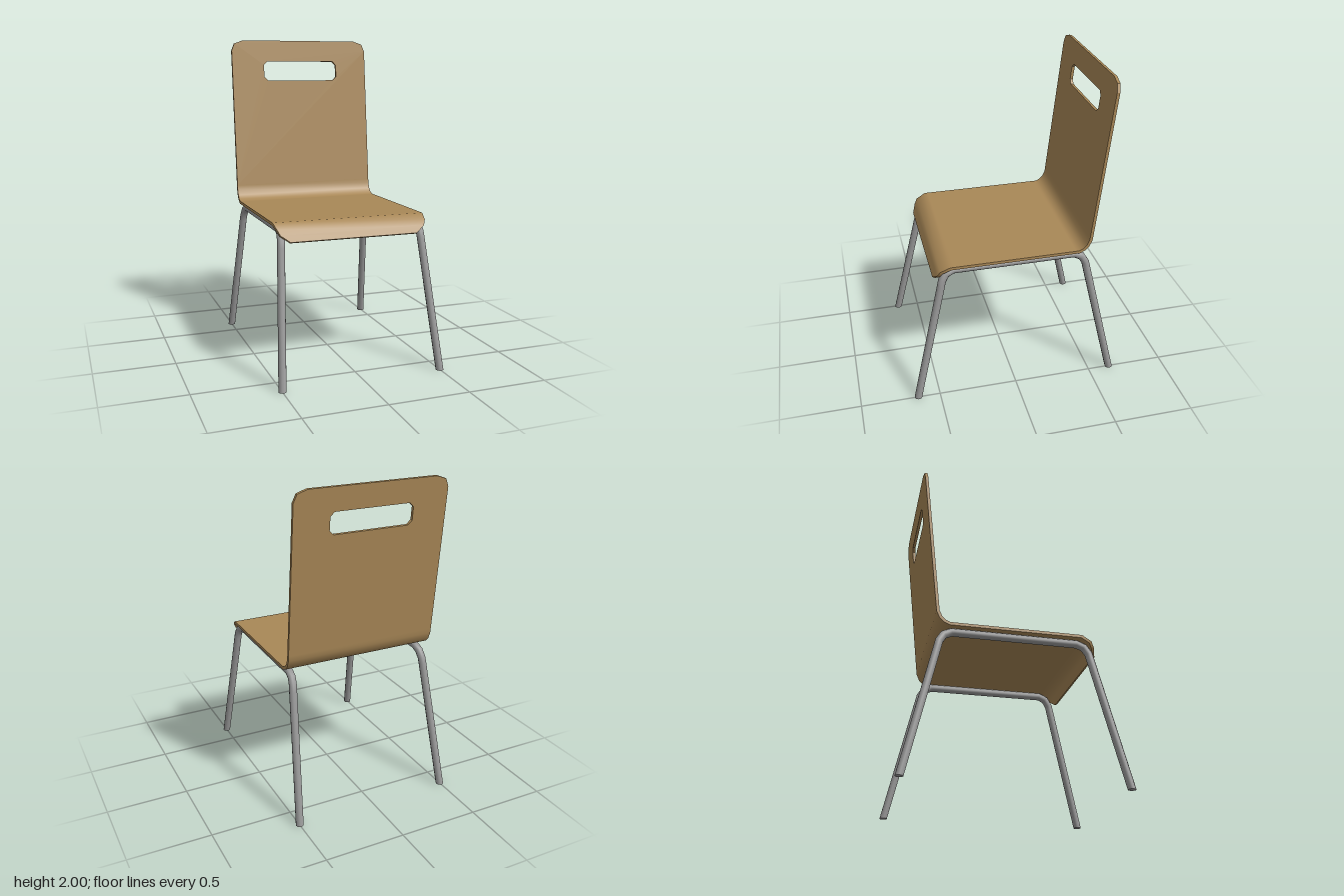
import * as THREE from 'three';
import { toCreasedNormals } from 'three/addons/utils/BufferGeometryUtils.js';

// Sweeps a cross-section along a path of [x, y, z] points that bends in the yz plane.
// section(i) gives [across, normal] pairs; flatEnds cuts both ends horizontally.
function sweep(path, section, flatEnds = false) {
  const pts = path.map(p => new THREE.Vector3(...p));
  const last = pts.length - 1;
  const dir = i => pts[i + 1].clone().sub(pts[i]).setX(0).normalize();
  const positions = [], index = [];
  let n = 0;
  pts.forEach((p, i) => {
    const before = dir(Math.max(i - 1, 0)), after = dir(Math.min(i, last - 1));
    let t = before.clone().add(after).normalize();
    const miter = 1 / t.dot(after);
    if (flatEnds && i === 0) t.set(0, 1, 0);
    if (flatEnds && i === last) t.set(0, -1, 0);
    const ring = section(i);
    n = ring.length;
    for (const [a, b] of ring) {
      positions.push(p.x + a, p.y + t.z * b * miter, p.z - t.y * b * miter);
    }
  });
  for (let i = 0; i < last; i++) {
    for (let j = 0; j < n; j++) {
      const a = i * n + j, b = i * n + (j + 1) % n;
      index.push(a, b, a + n, b, b + n, a + n);
    }
  }
  for (let j = 1; j < n - 1; j++) {
    index.push(0, j + 1, j, last * n, last * n + j, last * n + j + 1);
  }
  const geo = new THREE.BufferGeometry();
  geo.setAttribute('position', new THREE.Float32BufferAttribute(positions, 3));
  geo.setIndex(index);
  return toCreasedNormals(geo, 1.0);
}

export function createModel() {
  const model = new THREE.Group();
  model.name = 'chair';
  const wood = new THREE.MeshStandardMaterial({ color: 0xa98857 });
  wood.name = 'wood';
  const steel = new THREE.MeshStandardMaterial({ color: 0x999999 });
  steel.name = 'steel';
  const add = (name, geo, mat) => {
    const mesh = new THREE.Mesh(geo, mat);
    mesh.name = name;
    model.add(mesh);
    return mesh;
  };

  const half = 0.48, thick = 0.018;

  // Seat: lip, flat and rear bend as [z, y, half width]
  const seat = [
    [0.492, 0.826, 0.40], [0.472, 0.865, 0.455], [0.455, 0.895, 0.47],
    [0.40, 0.923, half], [0.38, 0.923, half], [-0.375, 0.923, half],
    [-0.395, 0.923, half], [-0.424, 0.936, half], [-0.449, 0.961, half],
    [-0.466, 1.0, half], [-0.4693, 1.03, half],
  ];
  add('seat', sweep(seat.map(([z, y]) => [0, y, z]), i => {
    const w = seat[i][2], h = thick / 2;
    return [[w, -h], [w, h], [-w, h], [-w, -h]];
  }), wood);

  // Backrest: leaning panel with clipped top corners and a hand slot
  const lean = Math.atan(0.109), baseY = 1.03;
  const up = y => (y - baseY) / Math.cos(lean);
  const toPoints = list => list.map(([x, y]) => new THREE.Vector2(x, up(y)));
  const panel = new THREE.Shape(toPoints([
    [-half, baseY], [half, baseY], [half, 1.93], [0.46, 1.978], [0.40, 1.999],
    [-0.40, 1.999], [-0.46, 1.978], [-half, 1.93],
  ]));
  panel.holes.push(new THREE.Path(toPoints([
    [-0.26, 1.76], [-0.26, 1.835], [-0.235, 1.86], [0.235, 1.86],
    [0.26, 1.835], [0.26, 1.755], [0.235, 1.73], [-0.235, 1.73], [-0.26, 1.755],
  ].slice(1))));
  const panelGeo = new THREE.ExtrudeGeometry(panel, { depth: thick, bevelEnabled: false });
  panelGeo.translate(0, 0, -thick / 2);
  const back = add('backrest', panelGeo, wood);
  back.rotation.x = -lean;
  back.position.set(0, baseY, -0.4693);

  // Leg frames: one bent tube per side, front foot to back foot
  const sides = 10, radius = 0.024;
  const frontHalf = [
    [0.499, 0, 0.64], [0.446, 0.79, 0.457], [0.443, 0.825, 0.449],
    [0.438, 0.868, 0.422], [0.435, 0.888, 0.378], [0.435, 0.888, 0.36],
  ];
  const backHalf = frontHalf.map(([x, y, z]) => [x, y, -z]).reverse();
  const circle = Array.from({ length: sides }, (_, j) => {
    const a = (j / sides) * Math.PI * 2;
    return [radius * Math.cos(a), radius * Math.sin(a)];
  });
  for (const [name, s] of [['leftLegFrame', 1], ['rightLegFrame', -1]]) {
    const path = [...frontHalf, ...backHalf].map(([x, y, z]) => [s * x, y, z]);
    add(name, sweep(path, () => circle, true), steel);
  }
  return model;
}
